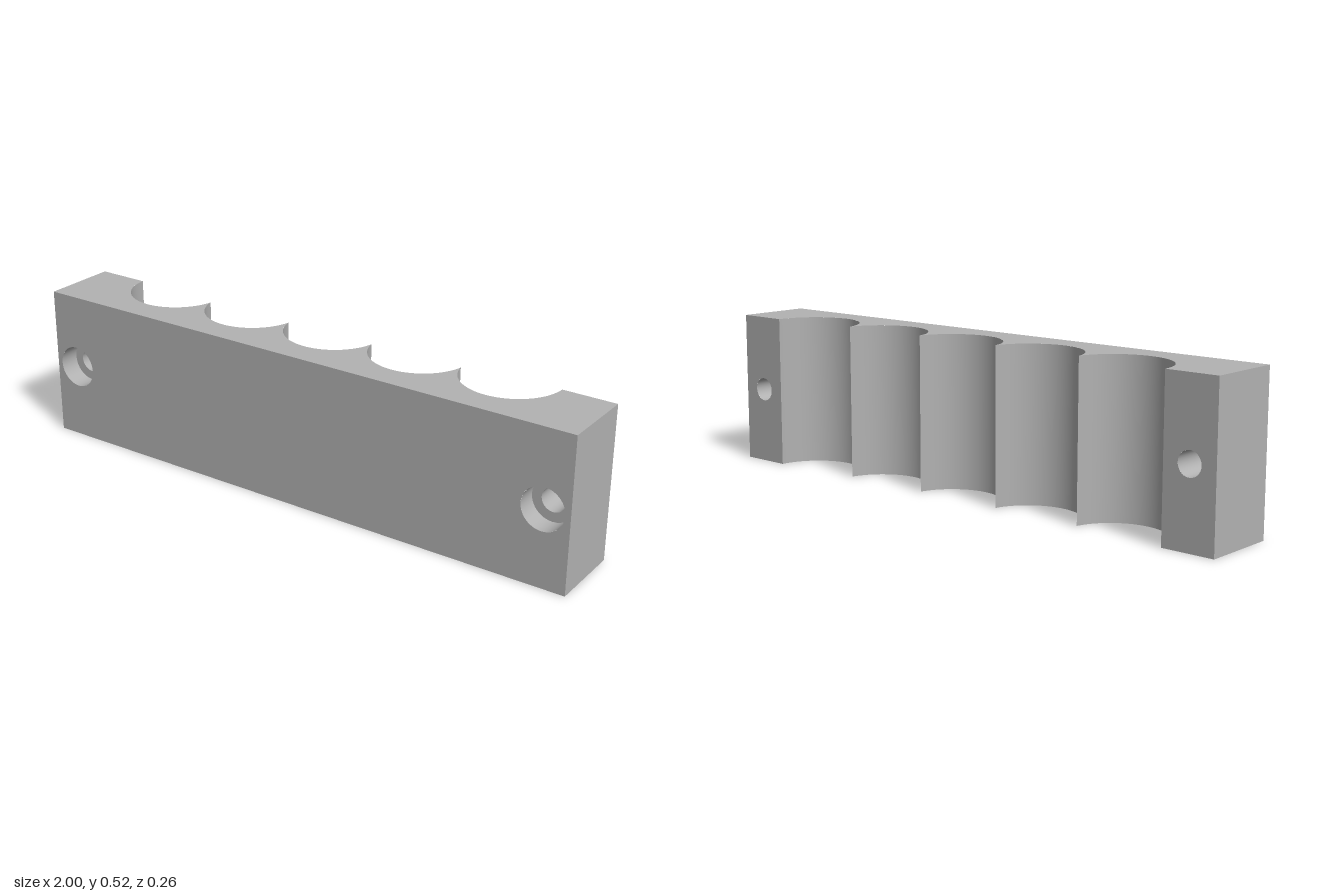
import * as THREE from 'three';
import { mergeGeometries } from 'three/addons/utils/BufferGeometryUtils.js';

const H = 0.52, D = 0.13;                    // block height, half depth
const PITCH = 0.327, R = 0.166;              // scallop spacing and radius
const HOLE_X = 0.91, BORE = 0.04, SINK = 0.072, SINK_DEPTH = 0.07;
const EDGE = 2 * PITCH + R;                  // where the scallops meet the end lands
const SEG = 32;

// Turns a surface inside out
function flip(geo) {
  const idx = geo.index.array, n = geo.attributes.normal;
  for (let i = 0; i < idx.length; i += 3) [idx[i], idx[i + 1]] = [idx[i + 1], idx[i]];
  for (let i = 0; i < n.array.length; i++) n.array[i] *= -1;
  return geo;
}

function rect(x0, x1) {
  return new THREE.Shape([[x0, 0], [x1, 0], [x1, H], [x0, H]].map(p => new THREE.Vector2(...p)));
}

function addHole(shape, x, r) {
  shape.holes.push(new THREE.Path().absarc(x, H / 2, r, 0, Math.PI * 2, true));
}

// Inward-facing tube along z
function bore(x, r, z0, z1) {
  return flip(new THREE.CylinderGeometry(r, r, z1 - z0, SEG, 1, true))
    .rotateX(Math.PI / 2).translate(x, H / 2, (z0 + z1) / 2);
}

export function createModel() {
  const grey = new THREE.MeshStandardMaterial({ color: 0xb2b2b2 });
  grey.name = 'grey';
  const group = new THREE.Group();
  group.name = 'scallopedRack';
  const add = (name, parts) => {
    const mesh = new THREE.Mesh(mergeGeometries(parts), grey);
    mesh.name = name;
    group.add(mesh);
  };

  // Plan outline and the matching scallop walls
  const plan = new THREE.Shape();
  plan.moveTo(-1, -D);
  plan.lineTo(-EDGE, -D);
  const cusp = Math.asin(PITCH / 2 / R);
  const scallops = [];
  for (let i = -2; i <= 2; i++) {
    const left = i === -2 ? Math.PI / 2 : cusp;
    const right = i === 2 ? Math.PI / 2 : cusp;
    plan.absarc(i * PITCH, -D, R, Math.PI / 2 + left, Math.PI / 2 - right, true);
    scallops.push(flip(new THREE.CylinderGeometry(R, R, H, SEG, 1, true, -left, left + right))
      .translate(i * PITCH, H / 2, -D));
  }
  plan.lineTo(1, -D);
  plan.lineTo(1, D);
  plan.lineTo(-1, D);
  plan.closePath();

  // Front face with countersink openings
  const front = rect(-1, 1);
  const shell = [], holes = [];
  for (const s of [-1, 1]) {
    const x = s * HOLE_X;
    addHole(front, x, SINK);

    // Back land with the narrow bore opening
    const land = s < 0 ? rect(-1, -EDGE) : rect(EDGE, 1);
    addHole(land, x, BORE);
    shell.push(flip(new THREE.ShapeGeometry(land, SEG)).translate(0, 0, -D));

    // End face
    shell.push(new THREE.PlaneGeometry(2 * D, H).rotateY(s * Math.PI / 2).translate(s, H / 2, 0));

    // Counterbore wall, its flat seat and the through bore
    holes.push(
      bore(x, SINK, D - SINK_DEPTH, D),
      new THREE.RingGeometry(BORE, SINK, SEG).translate(x, H / 2, D - SINK_DEPTH),
      bore(x, BORE, -D, D - SINK_DEPTH),
    );
  }
  shell.push(new THREE.ShapeGeometry(front, SEG).translate(0, 0, D));

  // Bottom and top faces
  shell.push(new THREE.ShapeGeometry(plan, SEG).rotateX(Math.PI / 2));
  shell.push(flip(new THREE.ShapeGeometry(plan, SEG).rotateX(Math.PI / 2)).translate(0, H, 0));

  add('block', shell);
  add('scallops', scallops);
  add('screwHoles', holes);
  return group;
}
